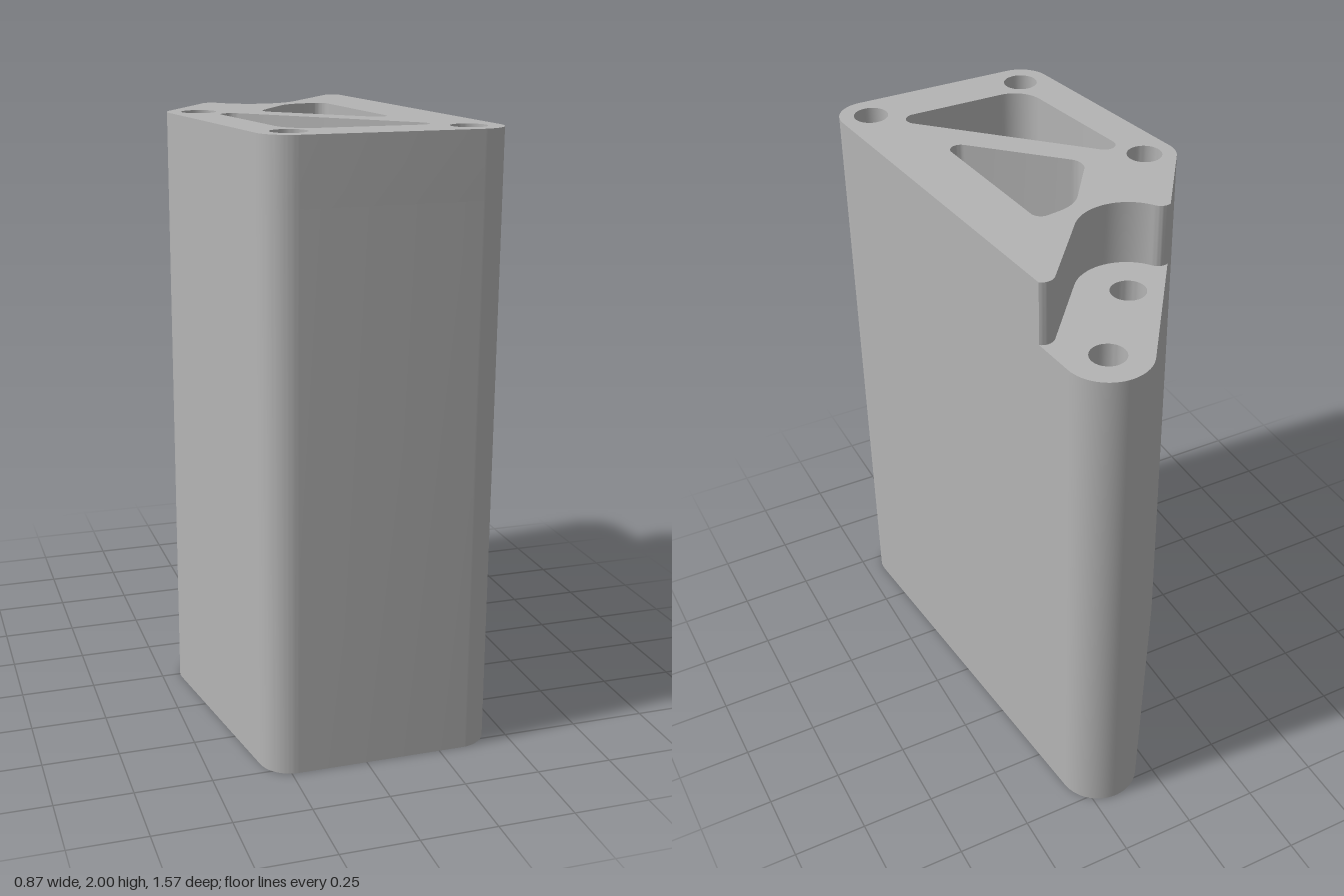
import * as THREE from 'three';
import { toCreasedNormals } from 'three/addons/utils/BufferGeometryUtils.js';

const TOP = 2, LEDGE = 1.79, HOLE_R = 0.057;
const V = (x, y) => new THREE.Vector2(x, y);

// Plan coordinates are (x, -z), outlines run counter-clockwise.
function arc(cx, cy, r, a0, a1, n = 16) {
  return Array.from({ length: n + 1 }, (_, i) => {
    const a = a0 + ((a1 - a0) * i) / n;
    return V(cx + r * Math.cos(a), cy + r * Math.sin(a));
  });
}

// Polygon with a fillet radius per corner: [x, y, r]
function roundedPolygon(corners) {
  const n = corners.length;
  return corners.flatMap(([x, y, r], i) => {
    const v = V(x, y);
    const p = corners[(i + n - 1) % n], q = corners[(i + 1) % n];
    const a = V(p[0], p[1]).sub(v).normalize(), b = V(q[0], q[1]).sub(v).normalize();
    const half = Math.acos(a.dot(b)) / 2, t = r / Math.tan(half);
    const c = a.clone().add(b).normalize().multiplyScalar(r / Math.sin(half)).add(v);
    const s = a.multiplyScalar(t).add(v).sub(c), e = b.multiplyScalar(t).add(v).sub(c);
    const a0 = Math.atan2(s.y, s.x);
    const sweep = Math.atan2(s.cross(e), s.dot(e));
    return arc(c.x, c.y, r, a0, a0 + sweep, 12);
  });
}

// One arc per circle of the belt wrapped around all the circles
function beltArcs(circles) {
  const n = circles.length;
  const tangent = (i) => {
    const [x1, y1, r1] = circles[i], [x2, y2, r2] = circles[(i + 1) % n];
    return Math.atan2(y2 - y1, x2 - x1) - Math.acos((r1 - r2) / Math.hypot(x2 - x1, y2 - y1));
  };
  return circles.map(([x, y, r], i) => {
    const a0 = tangent((i + n - 1) % n);
    let a1 = tangent(i);
    while (a1 < a0) a1 += Math.PI * 2;
    return arc(x, y, r, a0, a1, 24);
  });
}

// Point at height y on the straight edge a-b
const onEdge = (a, b, y) => a.clone().lerp(b, (y - a.y) / (b.y - a.y));

// Upright wall along a closed loop
function wall(loop, y0, y1) {
  const pos = [];
  loop.forEach((p, i) => {
    const q = loop[(i + 1) % loop.length];
    if (p.distanceTo(q) < 1e-6) return;
    pos.push(p.x, y0, -p.y, q.x, y0, -q.y, q.x, y1, -q.y);
    pos.push(p.x, y0, -p.y, q.x, y1, -q.y, p.x, y1, -p.y);
  });
  const g = new THREE.BufferGeometry();
  g.setAttribute('position', new THREE.Float32BufferAttribute(pos, 3));
  return toCreasedNormals(g, 0.6);
}

// Flat face with holes, facing up or down
function face(loop, holes, y, down = false) {
  const s = new THREE.Shape(loop);
  s.holes = holes.map((h) => new THREE.Path(h));
  const g = new THREE.ShapeGeometry(s).rotateX(-Math.PI / 2).translate(0, y, 0);
  if (down) {
    g.index.array.reverse();
    g.computeVertexNormals();
  }
  return g;
}

export function createModel() {
  const group = new THREE.Group();
  group.name = 'bracketBlock';
  const grey = new THREE.MeshStandardMaterial({ color: 0xb4b4b4 });
  grey.name = 'plain grey';
  const add = (name, geometry) => {
    const m = new THREE.Mesh(geometry, grey);
    m.name = name;
    group.add(m);
  };

  // Outline: front right, rear, side and front left rounded corners
  const [frontA, rear, side, frontB] = beltArcs([
    [0.331, -0.68, 0.105],
    [0.17, 0.65, 0.137],
    [-0.333, -0.012, 0.103],
    [-0.227, -0.68, 0.105],
  ]);

  // Curved line of the step between the tall body and the rear ledge
  const start = onEdge(frontA.at(-1), rear[0], 0.507);
  const end = onEdge(rear.at(-1), side[0], 0.304);
  const deg = Math.PI / 180;
  const scoop = arc(-0.052, 0.383, 0.166, -39 * deg, -143 * deg, 24);
  const lip = new THREE.QuadraticBezierCurve(scoop.at(-1), V(-0.205, 0.318), end).getPoints(10);
  const step = [start, ...arc(0.296, 0.485, 0.04, 52 * deg, 141 * deg, 10), ...scoop, ...lip.slice(1)];

  const whole = [...frontA, start, ...rear, end, ...side, ...frontB];
  const tall = [...frontA, ...step, ...side, ...frontB];
  const low = [...rear, ...[...step].reverse()];

  // Through holes and pockets
  const hole = ([x, y]) => arc(x, y, HOLE_R, 0, Math.PI * 2, 40).slice(0, -1);
  const lowHoles = [[0.17, 0.652], [-0.052, 0.383]].map(hole);
  const tallHoles = [[-0.333, -0.012], [-0.227, -0.678], [0.331, -0.678]].map(hole);
  const pockets = [
    roundedPolygon([[0.16, 0.2, 0.035], [0.02, 0.178, 0.135], [-0.143, -0.053, 0.057], [0.213, -0.4, 0.033]]),
    roundedPolygon([[-0.305, -0.025, 0.036], [-0.21, -0.619, 0.105], [0.294, -0.619, 0.036]]),
  ];
  const tallCuts = [...tallHoles, ...pockets];

  // Outer walls
  add('lowerWall', wall(whole, 0, LEDGE));
  add('upperWall', wall(tall, LEDGE, TOP));

  // Horizontal faces
  add('bottomFace', face(whole, [...tallCuts, ...lowHoles], 0, true));
  add('topFace', face(tall, tallCuts, TOP));
  add('rearLedge', face(low, lowHoles, LEDGE));

  // Inner walls, loops reversed so they face the void
  const inner = (name, loops, h) =>
    loops.forEach((l, i) => add(name + (i + 1), wall([...l].reverse(), 0, h)));
  inner('boltHole', tallHoles, TOP);
  inner('ledgeHole', lowHoles, LEDGE);
  inner('pocket', pockets, TOP);

  return group;
}
